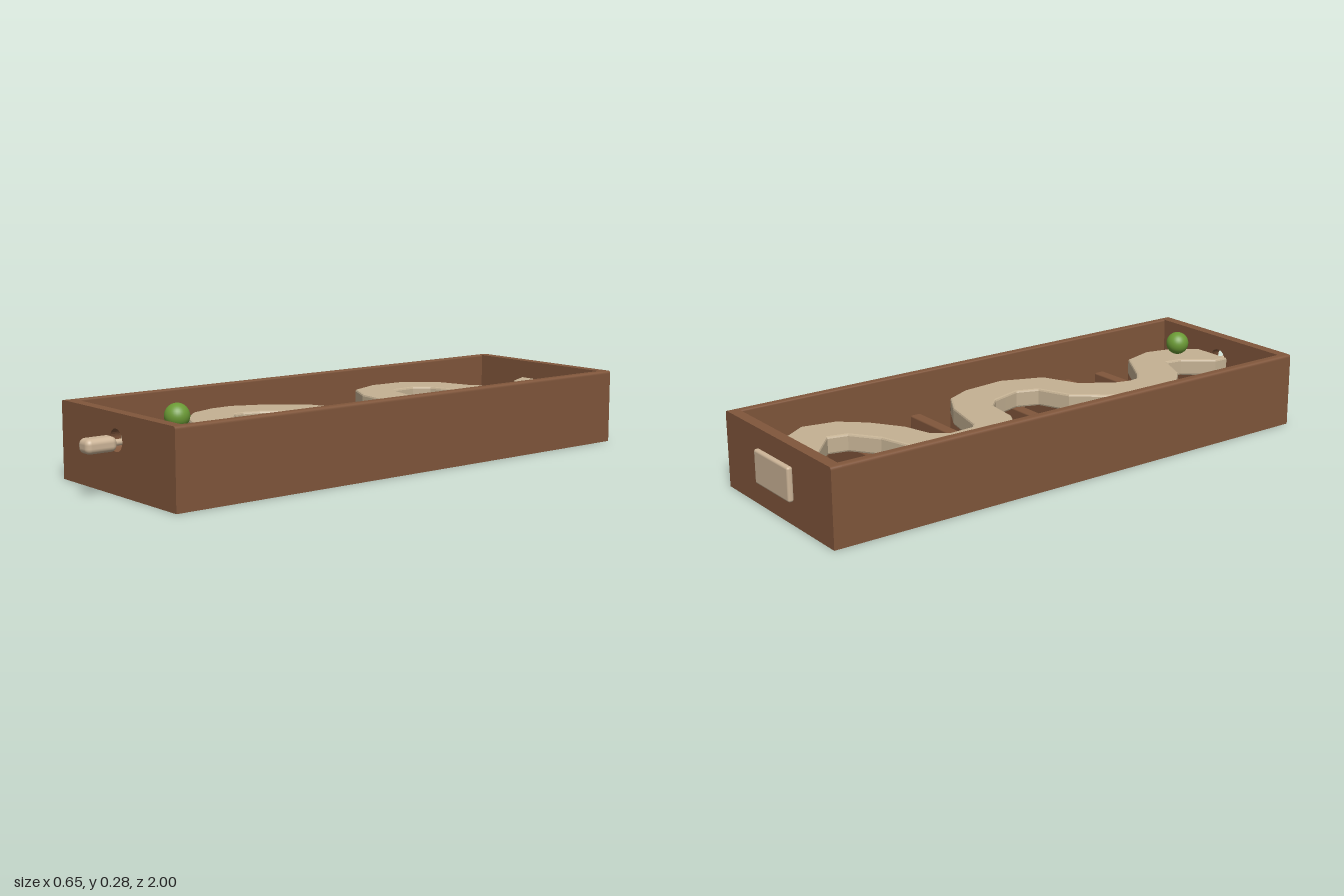
import * as THREE from 'three';
import { RoundedBoxGeometry } from 'three/addons/geometries/RoundedBoxGeometry.js';

export function createModel() {
  const group = new THREE.Group();
  const mat = (name, color) => {
    const m = new THREE.MeshStandardMaterial({ color });
    m.name = name;
    return m;
  };
  const wood = mat('brown wood', 0x80563b);
  const track = mat('pale track', 0xc4b193);
  const pale = mat('pale fittings', 0xcdb598);
  const green = mat('green ball', 0x6b9a35);

  const add = (name, geometry, material, x = 0, y = 0, z = 0) => {
    const mesh = new THREE.Mesh(geometry, material);
    mesh.name = name;
    mesh.position.set(x, y, z);
    group.add(mesh);
    return mesh;
  };

  // Tray dimensions
  const W = 0.323, H = 0.255, Z0 = -0.975, Z1 = 0.88, T = 0.03, TE = 0.037;
  const midZ = (Z0 + Z1) / 2, innerLen = Z1 - Z0 - 2 * TE;

  // Upright board outline with softened upper corners
  const board = (x0, x1, r0, r1) => {
    const s = new THREE.Shape();
    s.moveTo(x0, 0);
    s.lineTo(x1, 0);
    s.lineTo(x1, H - r1);
    s.quadraticCurveTo(x1, H, x1 - r1, H);
    s.lineTo(x0 + r0, H);
    s.quadraticCurveTo(x0, H, x0, H - r0);
    s.closePath();
    return s;
  };
  const extrude = (shape, depth) =>
    new THREE.ExtrudeGeometry(shape, { depth, bevelEnabled: false, curveSegments: 16 });

  // End walls, the front one pierced by a round hole
  const front = board(-W, W, 0.01, 0.01);
  front.holes.push(new THREE.Path().absarc(0, 0.17, 0.036, 0, Math.PI * 2, true));
  add('frontWall', extrude(front, TE), wood, 0, 0, Z1 - TE);
  add('backWall', extrude(board(-W, W, 0.01, 0.01), TE), wood, 0, 0, Z0);

  // Side walls and floor
  add('leftWall', extrude(board(W - T, W, 0.006, 0.01), innerLen), wood, 0, 0, Z0 + TE);
  add('rightWall', extrude(board(-W, -W + T, 0.01, 0.006), innerLen), wood, 0, 0, Z0 + TE);
  add('floor', new THREE.BoxGeometry(2 * (W - T), 0.03, innerLen), wood, 0, 0.015, midZ);

  // Cross ribs on the floor
  const pitch = innerLen / 11;
  for (let i = 1; i <= 10; i++) {
    add('rib' + i, new RoundedBoxGeometry(2 * (W - T), 0.09, 0.04, 2, 0.006), wood,
      0, 0.065, Z0 + TE + i * pitch);
  }

  // Winding track: right edge x, z then left edge x, z at each station
  const stations = [
    [-0.07, -0.93, 0.07, -0.93], [-0.03, -0.845, 0.145, -0.865],
    [0.06, -0.765, 0.2, -0.78], [0.045, -0.70, 0.178, -0.665],
    [-0.045, -0.635, 0.105, -0.585], [-0.165, -0.60, 0.0, -0.515],
    [-0.26, -0.495, -0.095, -0.488], [-0.267, -0.355, -0.135, -0.44],
    [-0.22, -0.24, -0.13, -0.35], [-0.115, -0.185, -0.105, -0.33],
    [0.005, -0.17, 0.06, -0.292], [0.045, -0.13, 0.152, -0.24],
    [0.06, -0.08, 0.195, -0.15], [0.077, -0.02, 0.21, 0.005],
    [0.05, 0.053, 0.152, 0.152], [-0.06, 0.097, 0.025, 0.207],
    [-0.145, 0.197, -0.045, 0.31], [-0.2, 0.32, -0.06, 0.365],
    [-0.197, 0.4, -0.055, 0.4], [-0.165, 0.49, -0.013, 0.437],
    [-0.09, 0.563, 0.135, 0.527], [0.025, 0.615, 0.168, 0.64],
    [0.015, 0.675, 0.142, 0.75], [-0.065, 0.77, 0.075, 0.823],
  ];
  const outline = stations.map((s) => new THREE.Vector2(s[0], -s[1]));
  outline.push(new THREE.Vector2(-0.065, -0.823));
  outline.push(...stations.map((s) => new THREE.Vector2(s[2], -s[3])).reverse());
  const bevel = 0.007;
  const trackGeo = new THREE.ExtrudeGeometry(new THREE.Shape(outline), {
    depth: 0.06 - 2 * bevel, bevelEnabled: true, bevelThickness: bevel,
    bevelSize: bevel, bevelOffset: -bevel, bevelSegments: 2,
  });
  trackGeo.rotateX(-Math.PI / 2);
  add('windingTrack', trackGeo, track, 0, 0.135 + bevel, 0);

  // Ball resting on the track
  add('ball', new THREE.SphereGeometry(0.04, 32, 20), green, 0.076, 0.237, 0.71);

  // Front pull knob and its stem
  add('knob', new RoundedBoxGeometry(0.06, 0.047, 0.107, 4, 0.018), pale, 0.006, 0.165, 0.9465);
  const stem = new THREE.CylinderGeometry(0.01, 0.01, 0.1, 16).rotateX(Math.PI / 2);
  add('knobStem', stem, pale, 0.006, 0.165, 0.86);

  // Back plate and its neck
  add('backPlate', new RoundedBoxGeometry(0.21, 0.112, 0.02, 3, 0.008), pale, -0.004, 0.14, -0.99);
  add('plateNeck', new THREE.BoxGeometry(0.08, 0.04, 0.06), pale, 0, 0.16, -0.957);

  return group;
}
